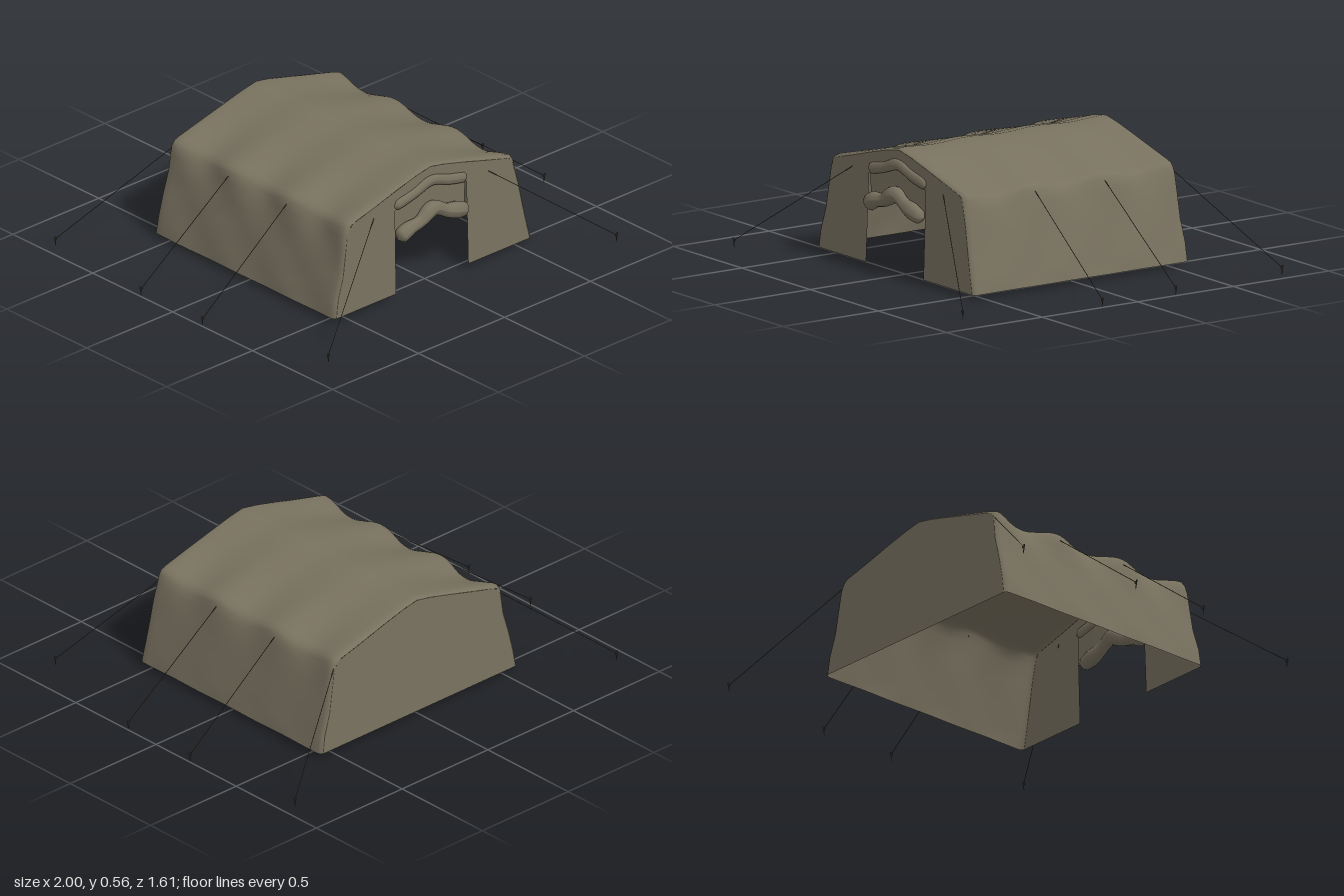
import * as THREE from 'three';

const canvas = new THREE.MeshStandardMaterial({ color: 0x78715f, side: THREE.DoubleSide });
canvas.name = 'olive canvas';
const cord = new THREE.MeshStandardMaterial({ color: 0x4a463b });
cord.name = 'dark cord';

const FRONT = 0.54, BACK = -0.56;
const POLES = [0.53, 0.18, -0.19, -0.55];
const DOOR = { left: -0.21, right: 0.205, side: 0.41, peak: 0.46 };

// Half of the cross-section, from the hem up to the ridge
const HALF = [[0.575, 0.02], [0.56, 0.1], [0.535, 0.2], [0.513, 0.3], [0.498, 0.38],
  [0.49, 0.418], [0.477, 0.438], [0.45, 0.448], [0.34, 0.477], [0.2, 0.512], [0.08, 0.543], [0, 0.558]];

// The end walls lean outwards a little towards the hem
const lean = (z, y) => z + Math.sign(z) * 0.014 * (1 - y / 0.45);

// How far the cloth sags between poles, 0 to 1
function sag(z) {
  for (let i = 0; i < 3; i++) {
    const t = (POLES[i] - z) / (POLES[i] - POLES[i + 1]);
    if (t >= 0 && t <= 1) return Math.sin(Math.PI * t) ** 2;
  }
  return 0;
}

// Full cross-section at z, pulled in by inset at the rounded ends
function section(z, inset = 0) {
  const s = sag(z);
  const point = ([x, y], side) => {
    const eave = Math.exp(-(((y - 0.43) / 0.06) ** 2)) * (x > 0.3 ? 1 : 0.4);
    const wrinkle = 0.004 * Math.sin(z * 19 + y * 23 + side) * (y > 0.05 ? 1 : 0.3);
    const nx = x - (x > 0.3 ? s * eave * 0.02 + wrinkle + inset : 0);
    const ny = y - (y > 0.05 ? s * (0.008 + 0.02 * eave) : 0) - (y > 0.4 ? inset * 0.7 : 0);
    return new THREE.Vector3(side * nx, ny, lean(z, y));
  };
  return [...HALF.map((p) => point(p, 1)),
    ...HALF.slice(0, -1).reverse().map((p) => point(p, -1))];
}

// Surface through a list of cross-sections
function loft(rows) {
  const n = rows[0].length, index = [];
  for (let r = 0; r < rows.length - 1; r++) {
    for (let i = 0; i < n - 1; i++) {
      const a = r * n + i, b = a + n;
      index.push(a, a + 1, b, b, a + 1, b + 1);
    }
  }
  const g = new THREE.BufferGeometry().setFromPoints(rows.flat());
  g.setIndex(index);
  g.computeVertexNormals();
  return g;
}

function add(group, name, geometry, material) {
  const mesh = new THREE.Mesh(geometry, material);
  mesh.name = name;
  group.add(mesh);
  return mesh;
}

// End wall cut to the cross-section, optionally with the doorway
function endWall(z, door) {
  const outline = section(z, 0.014);
  let points = outline.map((p) => new THREE.Vector2(p.x, p.y));
  if (door) {
    points = [...points,
      new THREE.Vector2(DOOR.left - 0.005, 0.02), new THREE.Vector2(DOOR.left, DOOR.side),
      new THREE.Vector2(0, DOOR.peak),
      new THREE.Vector2(DOOR.right, DOOR.side), new THREE.Vector2(DOOR.right, 0.02)];
  }
  const g = new THREE.ShapeGeometry(new THREE.Shape(points));
  const pos = g.attributes.position;
  for (let i = 0; i < pos.count; i++) pos.setZ(i, lean(z, pos.getY(i)));
  if (z < 0) g.setIndex([...g.index.array].reverse());
  g.computeVertexNormals();
  return g;
}

// Cloth roll along a path; ends taper shut, with flattening in depth
function roll(path, radius, depth, lumps) {
  const curve = new THREE.CatmullRomCurve3(path.map((p) => new THREE.Vector3(...p)));
  const seg = 40, sides = 12;
  const g = new THREE.TubeGeometry(curve, seg, radius, sides);
  const pos = g.attributes.position, v = new THREE.Vector3();
  for (let i = 0; i <= seg; i++) {
    const t = i / seg, c = curve.getPointAt(t);
    const end = Math.min(1, Math.sqrt(Math.min(t, 1 - t) * 20));
    const k = end * (1 + lumps * Math.sin(t * 17));
    for (let j = 0; j <= sides; j++) {
      const id = i * (sides + 1) + j;
      v.fromBufferAttribute(pos, id).sub(c).multiplyScalar(k);
      v.z *= depth;
      v.add(c);
      pos.setXYZ(id, v.x, v.y, v.z);
    }
  }
  g.computeVertexNormals();
  return g;
}

// Guy rope with its peg and hook
function guyLine(from, to) {
  const group = new THREE.Group();
  group.name = 'guyLine';
  const a = new THREE.Vector3(...from), b = new THREE.Vector3(...to);
  add(group, 'rope', new THREE.TubeGeometry(new THREE.LineCurve3(a, b), 1, 0.0016, 5), cord);
  const out = Math.sign(b.x);
  const peg = add(group, 'peg', new THREE.CylinderGeometry(0.004, 0.001, 0.042, 6), cord);
  peg.position.set(b.x - out * 0.001, 0.021, b.z);
  peg.rotation.z = -out * 0.15;
  const hook = add(group, 'pegHook', new THREE.TorusGeometry(0.006, 0.002, 5, 10), cord);
  hook.position.set(b.x - out * 0.004, 0.032, b.z);
  return group;
}

export function createModel() {
  const tent = new THREE.Group();
  tent.name = 'tent';

  // Roof and side walls, rounded over at both ends
  const rows = [section(FRONT, 0.014), section(FRONT - 0.006, 0.005)];
  const steps = 44;
  for (let i = 0; i <= steps; i++) {
    rows.push(section(THREE.MathUtils.lerp(FRONT - 0.02, BACK + 0.02, i / steps)));
  }
  rows.push(section(BACK + 0.006, 0.005), section(BACK, 0.014));
  add(tent, 'roofAndSides', loft(rows), canvas);

  // End walls
  add(tent, 'frontWall', endWall(FRONT, true), canvas);
  add(tent, 'backWall', endWall(BACK, false), canvas);

  // Rolled-up door and the folded band above it
  add(tent, 'rolledDoor', roll([[-0.205, 0.275, 0.552], [-0.15, 0.305, 0.556], [-0.08, 0.318, 0.555],
    [0, 0.355, 0.552], [0.08, 0.32, 0.555], [0.15, 0.3, 0.556], [0.2, 0.285, 0.552]], 0.034, 0.85, 0.12), canvas);
  add(tent, 'doorBand', roll([[-0.215, 0.428, 0.538], [-0.1, 0.455, 0.542], [0, 0.484, 0.542],
    [0.1, 0.455, 0.542], [0.21, 0.428, 0.538]], 0.024, 0.6, 0.03), canvas);
  // Cloth hanging from the door head down to the roll
  add(tent, 'doorFlap', loft([[-0.205, 0.275], [-0.1, 0.31], [0, 0.35], [0.1, 0.31], [0.2, 0.28]]
    .map(([x, y]) => [new THREE.Vector3(x, y, 0.535),
      new THREE.Vector3(x, DOOR.peak - Math.abs(x) * 0.24, 0.537)])), canvas);

  // Guy ropes: front, sides and back
  for (const s of [1, -1]) {
    tent.add(guyLine([s * 0.32, 0.425, 0.535], [s * 0.84, 0.03, 0.8]));
    tent.add(guyLine([s * 0.48, 0.405, -0.555], [s * 0.94, 0.03, -0.8]));
    tent.add(guyLine([s * 0.487, 0.41, 0.17], [s * 0.995, 0.03, 0.18]));
    tent.add(guyLine([s * 0.487, 0.41, -0.193], [s * 0.995, 0.03, -0.205]));
  }
  return tent;
}
